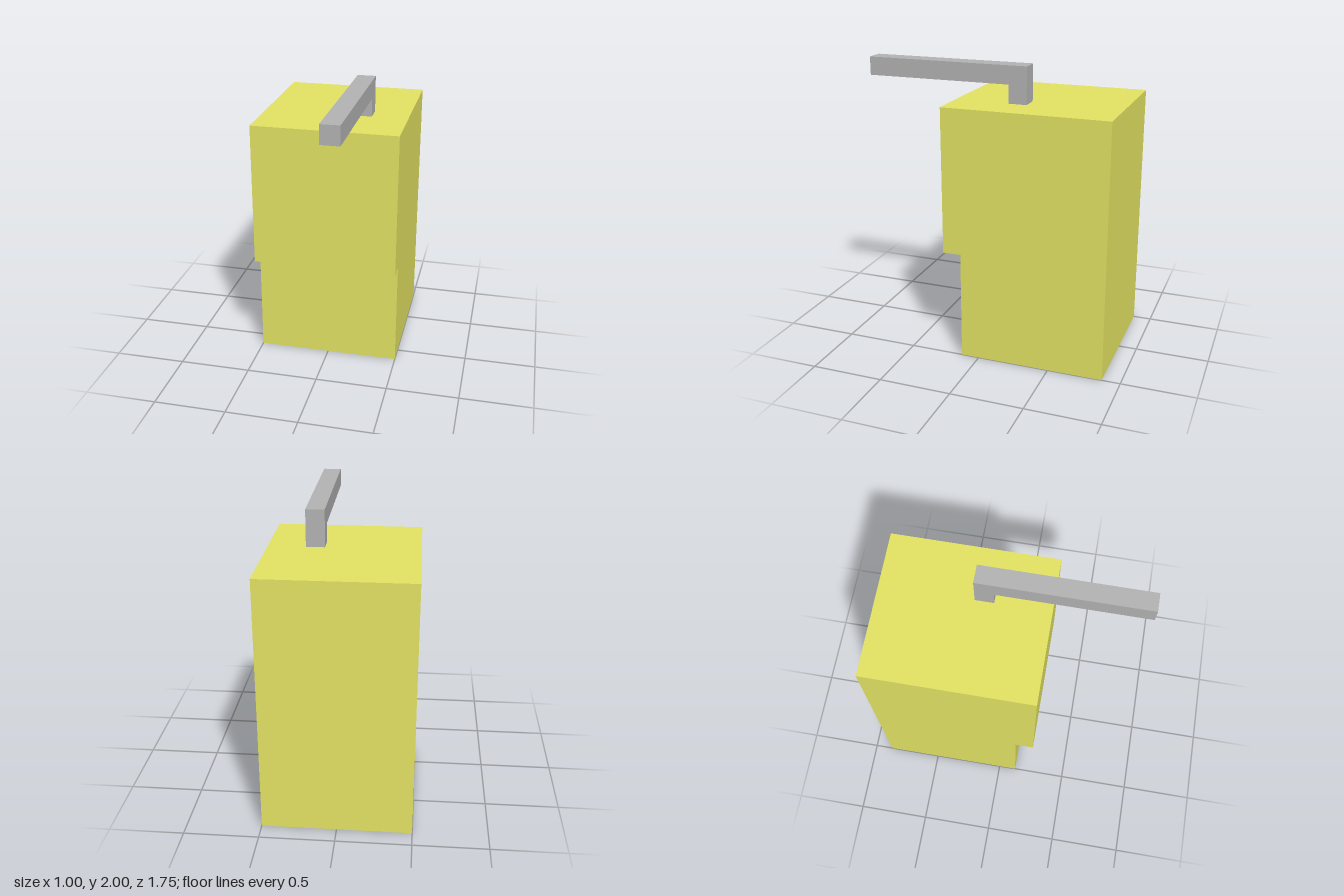
import * as THREE from 'three';

const yellow = new THREE.MeshStandardMaterial({ color: 0xe4e464 });
yellow.name = 'pale yellow';
const grey = new THREE.MeshStandardMaterial({ color: 0xb4b4b4 });
grey.name = 'light grey';

// Box given by its minimum and maximum corners
function box(name, material, min, max) {
  const size = max.map((v, i) => v - min[i]);
  const mesh = new THREE.Mesh(new THREE.BoxGeometry(...size), material);
  mesh.position.set(...max.map((v, i) => (v + min[i]) / 2));
  mesh.name = name;
  return mesh;
}

// Square outline of the given half width
function square(h) {
  return [[-h, -h], [h, -h], [h, h], [-h, h]].map(([x, y]) => new THREE.Vector2(x, y));
}

export function createModel() {
  const model = new THREE.Group();
  model.name = 'pumpDispenser';

  // Bottle: hollow square tube, open underneath and closed by a thick top
  const bottle = new THREE.Group();
  bottle.name = 'bottle';
  const outline = new THREE.Shape(square(0.5));
  outline.holes.push(new THREE.Path(square(0.25).reverse()));
  const tube = new THREE.ExtrudeGeometry(outline, { depth: 1.5, bevelEnabled: false });
  tube.rotateX(-Math.PI / 2);
  tube.translate(0, 0, -0.375);
  const walls = new THREE.Mesh(tube, yellow);
  walls.name = 'bottleWalls';
  bottle.add(
    walls,
    box('bottleTop', yellow, [-0.5, 1.5, -0.875], [0.5, 1.75, 0.125]),
    box('frontOverhang', yellow, [-0.5, 0.75, 0.125], [0.5, 1.75, 0.25])
  );

  // Pump: short post with a long arm reaching forward
  const pump = new THREE.Group();
  pump.name = 'pump';
  pump.add(
    box('pumpPost', grey, [0.125, 1.75, -0.25], [0.25, 1.875, -0.125]),
    box('pumpArm', grey, [0.125, 1.875, -0.25], [0.25, 2, 0.875])
  );

  model.add(bottle, pump);
  return model;
}
